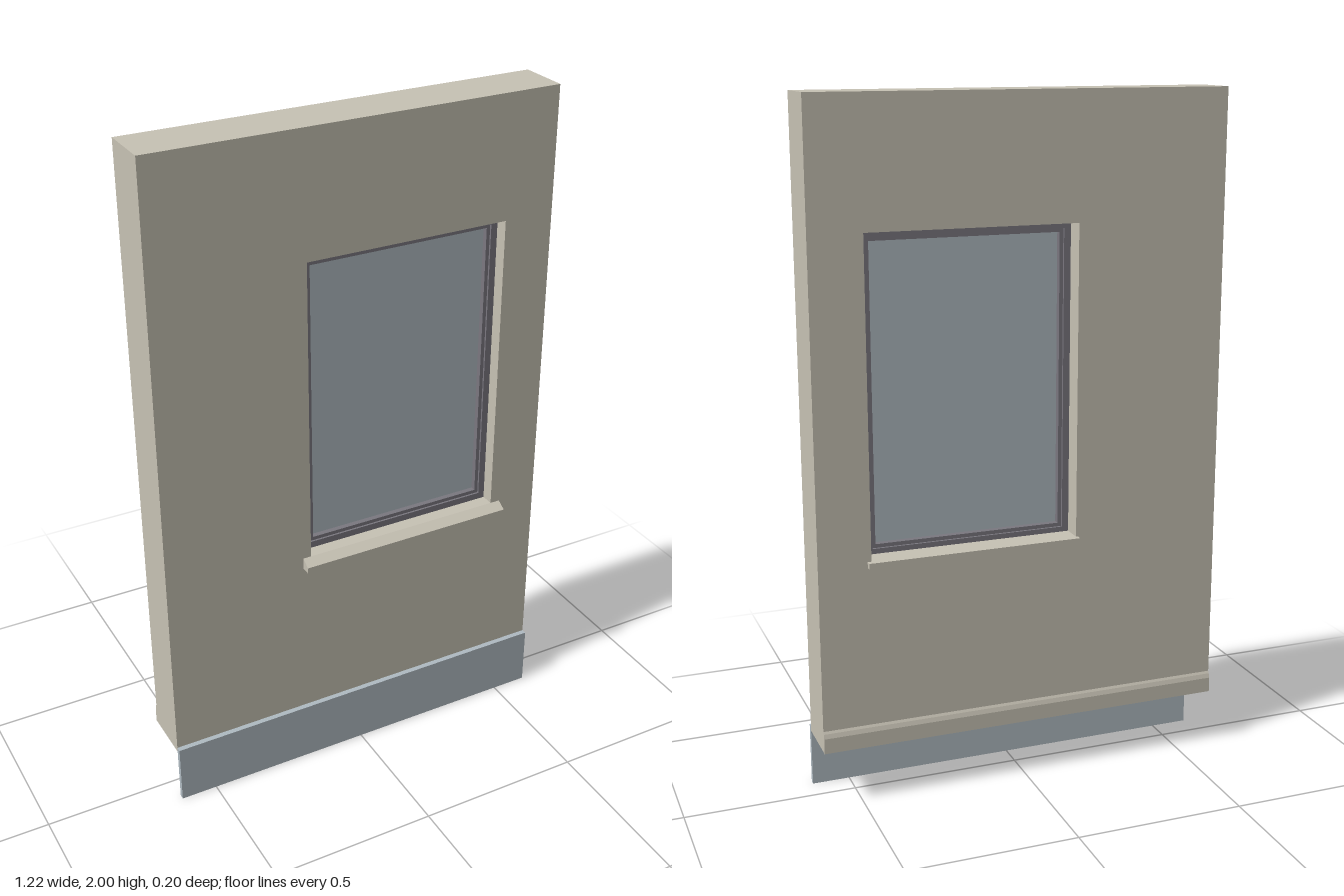
import * as THREE from 'three';

const material = (name, color) => {
  const m = new THREE.MeshStandardMaterial({ color });
  m.name = name;
  return m;
};

export function createModel() {
  const group = new THREE.Group();
  const plaster = material('plaster', 0xc8c3b5);
  const blueGrey = material('blueGrey', 0xb0bbc2);
  const frameGrey = material('frameGrey', 0x7b7880);

  const FRONT = 0.07, BACK = -0.085, HALF = 0.61;
  const OPEN = [-0.16, 0.72, 0.457, 1.637]; // opening: left, bottom, right, top

  const add = (name, geometry, mat) => {
    const mesh = new THREE.Mesh(geometry, mat);
    mesh.name = name;
    group.add(mesh);
    return mesh;
  };
  const rectPoints = ([x0, y0, x1, y1]) =>
    [[x0, y0], [x1, y0], [x1, y1], [x0, y1]].map(p => new THREE.Vector2(...p));
  const inset = ([x0, y0, x1, y1], d) => [x0 + d, y0 + d, x1 - d, y1 - d];

  // Rectangular panel with a rectangular hole, between two depths
  const ring = (name, outer, hole, z0, z1, mat) => {
    const shape = new THREE.Shape(rectPoints(outer));
    shape.holes.push(new THREE.Path(rectPoints(hole)));
    const g = new THREE.ExtrudeGeometry(shape, { depth: z1 - z0, bevelEnabled: false });
    return add(name, g.translate(0, 0, z0), mat);
  };
  // Side profile of [z, y] points swept along x
  const moulding = (name, points, x0, x1, mat) => {
    const shape = new THREE.Shape(points.map(([z, y]) => new THREE.Vector2(-z, y)));
    const g = new THREE.ExtrudeGeometry(shape, { depth: x1 - x0, bevelEnabled: false });
    return add(name, g.rotateY(Math.PI / 2).translate(x0, 0, 0), mat);
  };
  const panel = (name, [x0, y0, x1, y1], z0, z1, mat) =>
    add(name, new THREE.BoxGeometry(x1 - x0, y1 - y0, z1 - z0)
      .translate((x0 + x1) / 2, (y0 + y1) / 2, (z0 + z1) / 2), mat);

  // Wall and the plinth hanging below its front
  ring('wall', [-HALF, 0.17, HALF, 2], OPEN, BACK, FRONT, plaster);
  panel('plinth', [-HALF, 0, HALF, 0.185], FRONT, 0.086, blueGrey);

  // Skirting board on the back
  moulding('skirtingBoard',
    [[BACK, 0.17], [-0.093, 0.17], [-0.093, 0.215], [-0.089, 0.228], [BACK, 0.235]],
    -HALF, HALF, plaster);

  // Window: outer frame, recessed sash and glass
  const sash = inset(OPEN, 0.02), glass = inset(OPEN, 0.031);
  ring('windowFrame', OPEN, sash, -0.025, 0.03, frameGrey);
  ring('windowSash', sash, glass, -0.018, 0.024, frameGrey);
  panel('windowGlass', glass, 0, 0.008, blueGrey);

  // Sloping outer sill and flat inner sill
  moulding('outerSill',
    [[FRONT, 0.685], [0.099, 0.685], [0.099, 0.703], [FRONT, 0.72]], -0.185, 0.487, plaster);
  panel('innerSill', [-0.166, 0.708, 0.468, 0.725], -0.102, BACK, plaster);
  panel('innerSillBoard', [OPEN[0], 0.715, OPEN[2], 0.725], BACK, -0.025, plaster);

  return group;
}
